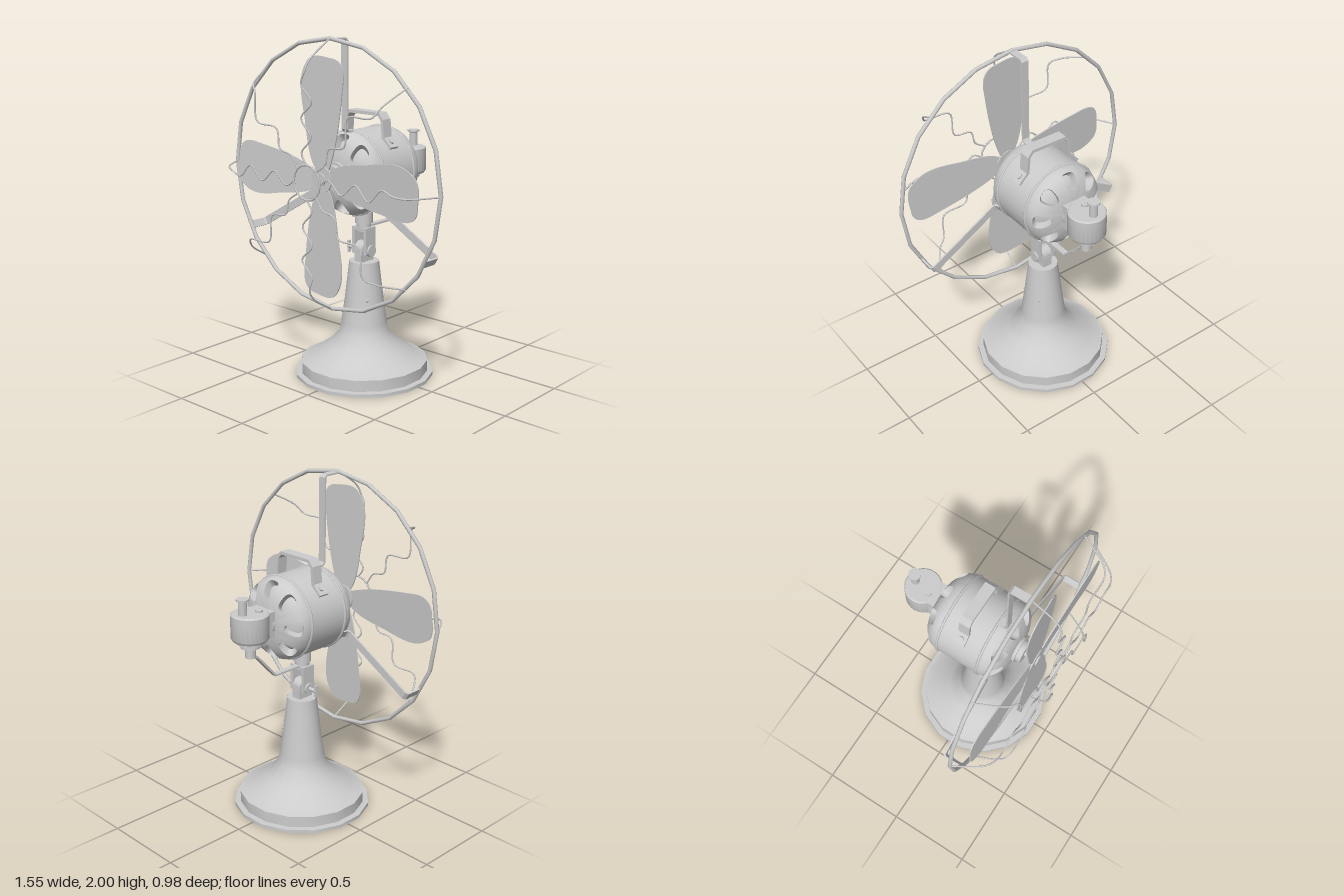
import * as THREE from 'three';
import { mergeGeometries, toCreasedNormals } from 'three/addons/utils/BufferGeometryUtils.js';

const V2 = (x, y) => new THREE.Vector2(x, y);
const HUB_Y = 1.225;

export function createModel() {
  const root = new THREE.Group();
  root.name = 'deskFan';
  const grey = new THREE.MeshStandardMaterial({ color: 0xcccccc, side: THREE.DoubleSide });

  const add = (parent, name, geo, x = 0, y = 0, z = 0) => {
    const mesh = new THREE.Mesh(geo, grey);
    mesh.name = name;
    mesh.position.set(x, y, z);
    parent.add(mesh);
    return mesh;
  };
  const group = (name, y = 0, z = 0) => {
    const g = new THREE.Group();
    g.name = name;
    g.position.set(0, y, z);
    root.add(g);
    return g;
  };
  const lathe = (pts, segs, crease = 0.6, phase = 0) =>
    toCreasedNormals(new THREE.LatheGeometry(pts.map(p => V2(...p)), segs, phase), crease);
  const cyl = (r, h, segs = 20) => new THREE.CylinderGeometry(r, r, h, segs);

  // Flat metal strap: a mitred polyline in x/y, extruded to its width along z
  const strap = (path, thick, width) => {
    const pts = path.map(p => V2(...p));
    const side = s => pts.map((p, i) => {
      const a = pts[Math.max(i - 1, 0)], b = pts[Math.min(i + 1, pts.length - 1)];
      const d1 = i ? p.clone().sub(a).normalize() : b.clone().sub(p).normalize();
      const d2 = i < pts.length - 1 ? b.clone().sub(p).normalize() : d1;
      const n = V2(-d1.y - d2.y, d1.x + d2.x).normalize();
      const k = s * thick / 2 / (n.x * -d1.y + n.y * d1.x);
      return p.clone().addScaledVector(n, k);
    });
    const shape = new THREE.Shape([...side(-1), ...side(1).reverse()]);
    return new THREE.ExtrudeGeometry(shape, { depth: width, bevelEnabled: false }).translate(0, 0, -width / 2);
  };

  // Pedestal
  const base = group('base', 0, 0.015);
  add(base, 'baseFoot', lathe([[0, 0], [0.41, 0], [0.41, 0.02], [0.376, 0.022], [0.376, 0.088],
    [0.365, 0.09], [0.3, 0.125], [0.22, 0.18], [0.145, 0.26], [0.135, 0.32], [0.115, 0.46], [0.088, 0.69], [0, 0.69]],
    16, 0.7, Math.PI / 16));
  for (const z of [0.07, -0.07])
    add(base, 'neckScrew', new THREE.SphereGeometry(0.009, 8, 6), 0.085, 0.475, z);

  // Tilting joint between pedestal and motor
  const joint = group('tiltJoint', 0, 0.018);
  add(joint, 'jointLug', new THREE.BoxGeometry(0.06, 0.08, 0.1), 0, 0.715, 0);
  add(joint, 'jointKnuckle', cyl(0.048, 0.06).rotateZ(Math.PI / 2), 0, 0.76, 0);
  add(joint, 'jointYoke', strap([[-0.045, 0.735], [-0.045, 0.885], [0.045, 0.885], [0.045, 0.735]], 0.018, 0.085));
  add(joint, 'pivotBolt', cyl(0.034, 0.13, 16).rotateZ(Math.PI / 2), 0, 0.755, 0);
  add(joint, 'clampScrew', cyl(0.012, 0.06, 10).rotateZ(Math.PI / 2), -0.09, 0.755, 0);
  add(joint, 'clampWing', new THREE.BoxGeometry(0.012, 0.07, 0.02), -0.115, 0.755, 0);
  add(joint, 'swivelPost', cyl(0.042, 0.13), 0, 0.935, 0);
  add(joint, 'swivelCollar', cyl(0.052, 0.065), 0, 0.95, 0);

  // Motor casing, axis along z
  const motor = group('motor', HUB_Y, -0.01);
  add(motor, 'motorDrum', new THREE.CylinderGeometry(0.24, 0.24, 0.26, 40, 1, true).rotateX(Math.PI / 2));
  const dome = t => [0.24 * Math.cos(t) ** 0.75, 0.13 + 0.13 * Math.sin(t) ** 0.85];
  const T_END = 1.35, SECTORS = 8, N = 24;

  // One sector of the end cap: loops from the sector border to the vent edge, then inwards
  const ventSector = index => {
    const pos = [], idx = [];
    for (let row = 0; row <= 6; row++) {
      const f = Math.min(row / 5, 1), depth = row === 6 ? 0.84 : 1;
      for (let j = 0; j < N; j++) {
        const a = j / N * Math.PI * 2, c = Math.cos(a), s = Math.sin(a);
        const m = Math.max(Math.abs(c), Math.abs(s));
        const round = v => Math.sign(v) * Math.abs(v) ** 0.75;
        const u = THREE.MathUtils.lerp(c / m, round(c) * (0.52 - 0.08 * s), f);
        const v = THREE.MathUtils.lerp(0.5 + 0.5 * s / m, 0.53 + 0.26 * round(s), f);
        const [r, z] = dome(v * T_END);
        const th = (index + u / 2) * Math.PI * 2 / SECTORS;
        pos.push(r * depth * Math.cos(th), r * depth * Math.sin(th), z * depth);
        if (row < 6) {
          const k = row * N + j, k1 = row * N + (j + 1) % N;
          idx.push(k, k1, k1 + N, k, k1 + N, k + N);
        }
      }
    }
    const g = new THREE.BufferGeometry();
    g.setAttribute('position', new THREE.Float32BufferAttribute(pos, 3));
    g.setIndex(idx);
    return g;
  };
  const capGeo = toCreasedNormals(mergeGeometries(Array.from({ length: SECTORS }, (_, i) => ventSector(i))), 0.7);
  const inner = Array.from({ length: 11 }, (_, i) => dome(i / 10 * T_END).map(v => v * 0.84));
  const innerGeo = lathe(inner, 32).rotateX(Math.PI / 2);
  for (const end of [0, 1]) {
    const cap = new THREE.Group();
    cap.name = end ? 'rearCap' : 'frontCap';
    cap.rotation.y = end * Math.PI;
    motor.add(cap);
    add(cap, 'ventedShell', capGeo);
    add(cap, 'innerShell', innerGeo);
    add(cap, 'capBand', new THREE.TorusGeometry(0.24, 0.008, 8, 40), 0, 0, 0.13);
    add(cap, 'bearingBoss', cyl(0.08, 0.06, 24).rotateX(Math.PI / 2), 0, 0, 0.245);
    add(cap, 'capScrew', cyl(0.01, 0.03, 8), 0, -0.245, 0.11);
  }
  add(motor, 'frontBearing', cyl(0.066, 0.05, 24).rotateX(Math.PI / 2), 0, 0, 0.28);
  add(motor, 'shaft', cyl(0.022, 0.11, 12).rotateX(Math.PI / 2), 0, 0, 0.335);

  // Carrying handle
  const half = [[-0.2, 1.372], [-0.145, 1.425], [-0.136, 1.525], [-0.11, 1.556]];
  const handle = group('handle', 0, -0.012);
  add(handle, 'handleStrap', strap([...half, ...half.map(([x, y]) => [-x, y]).reverse()], 0.018, 0.066));
  for (const s of [-1, 1])
    add(handle, 'handleScrew', cyl(0.016, 0.02, 10).rotateZ(-s * 0.76), s * 0.178, 1.405, 0);

  // Oscillating gearbox behind the motor
  const gear = group('gearbox', 0, -0.382);
  add(gear, 'gearHousing', lathe([[0, 1.05], [0.03, 1.05], [0.03, 1.11], [0.055, 1.11], [0.055, 1.13], [0.07, 1.13],
    [0.07, 1.155], [0.098, 1.155], [0.108, 1.17], [0.108, 1.305], [0.1, 1.312], [0, 1.312]], 28));
  add(gear, 'gearNeck', new THREE.BoxGeometry(0.15, 0.15, 0.13), 0, 1.235, 0.09);
  add(gear, 'knob', lathe([[0, 1.3], [0.024, 1.3], [0.024, 1.39], [0.036, 1.395], [0.036, 1.405], [0, 1.405]], 16), 0, 0, -0.052);
  add(gear, 'oilCap', cyl(0.022, 0.016, 12), -0.022, 1.316, 0.048);
  add(root, 'linkArm', strap([[-0.38, 1.068], [-0.345, 1.045], [-0.205, 0.893], [0.02, 0.893]], 0.012, 0.035).rotateY(-Math.PI / 2));

  // Four blades on a small spider
  const blades = group('blades', HUB_Y, 0.362);
  add(blades, 'spider', cyl(0.075, 0.02, 16).rotateX(Math.PI / 2));
  add(blades, 'spinner', cyl(0.035, 0.04, 16).rotateX(Math.PI / 2));
  const outline = new THREE.Shape();
  outline.moveTo(-0.045, 0.05);
  outline.bezierCurveTo(-0.1, 0.12, -0.105, 0.22, -0.122, 0.33);
  outline.bezierCurveTo(-0.155, 0.48, -0.16, 0.56, -0.11, 0.63);
  outline.bezierCurveTo(-0.08, 0.68, -0.03, 0.68, 0.06, 0.665);
  outline.bezierCurveTo(0.14, 0.665, 0.165, 0.61, 0.148, 0.52);
  outline.bezierCurveTo(0.13, 0.38, 0.11, 0.2, 0.045, 0.05);
  const bladeGeo = new THREE.ExtrudeGeometry(outline, { depth: 0.007, bevelEnabled: false, curveSegments: 10 })
    .translate(0, 0, -0.0035).rotateY(0.05);
  for (let i = 0; i < 4; i++) add(blades, 'blade', bladeGeo).rotation.z = i * Math.PI / 2;

  // Guard: faceted rim, three rear struts, eight wavy front wires
  const guard = group('guard', HUB_Y);
  add(guard, 'rim', new THREE.TorusGeometry(0.763, 0.012, 8, 20).rotateZ(Math.PI / 2), 0, 0, 0.292);
  const strut = [[0.238, 0.125], [0.243, 0.165], [0.258, 0.176], [0.745, 0.176], [0.757, 0.188], [0.757, 0.295]];
  for (const deg of [90, 210, 330])
    add(guard, 'guardStrut', strap(strut, 0.01, 0.045).rotateX(Math.PI / 2).rotateZ(deg * Math.PI / 180));

  // Wire points: radius, sideways offset, z
  const axial = [[0.765, 0, 0.292], [0.66, 0, 0.452], [0.6, 0.01, 0.483], [0.53, 0.033, 0.486], [0.44, -0.042, 0.486],
    [0.35, 0.035, 0.486], [0.25, -0.035, 0.486], [0.16, 0.035, 0.486], [0.095, 0, 0.486]];
  const diagonal = [[0.765, 0, 0.292], [0.67, -0.03, 0.44], [0.605, -0.045, 0.482], [0.48, 0.056, 0.486],
    [0.353, -0.034, 0.486], [0.259, 0.026, 0.486], [0.18, -0.015, 0.486], [0.095, 0, 0.486]];
  for (let i = 0; i < 8; i++) {
    const pts = (i % 2 ? diagonal : axial).map(p => new THREE.Vector3(...p));
    const curve = new THREE.CatmullRomCurve3(pts, false, 'centripetal');
    add(guard, 'guardWire', new THREE.TubeGeometry(curve, 48, 0.005, 6)).rotation.z = i * Math.PI / 4;
  }
  add(guard, 'centreRing', new THREE.TorusGeometry(0.098, 0.006, 6, 16), 0, 0, 0.486);

  return root;
}
